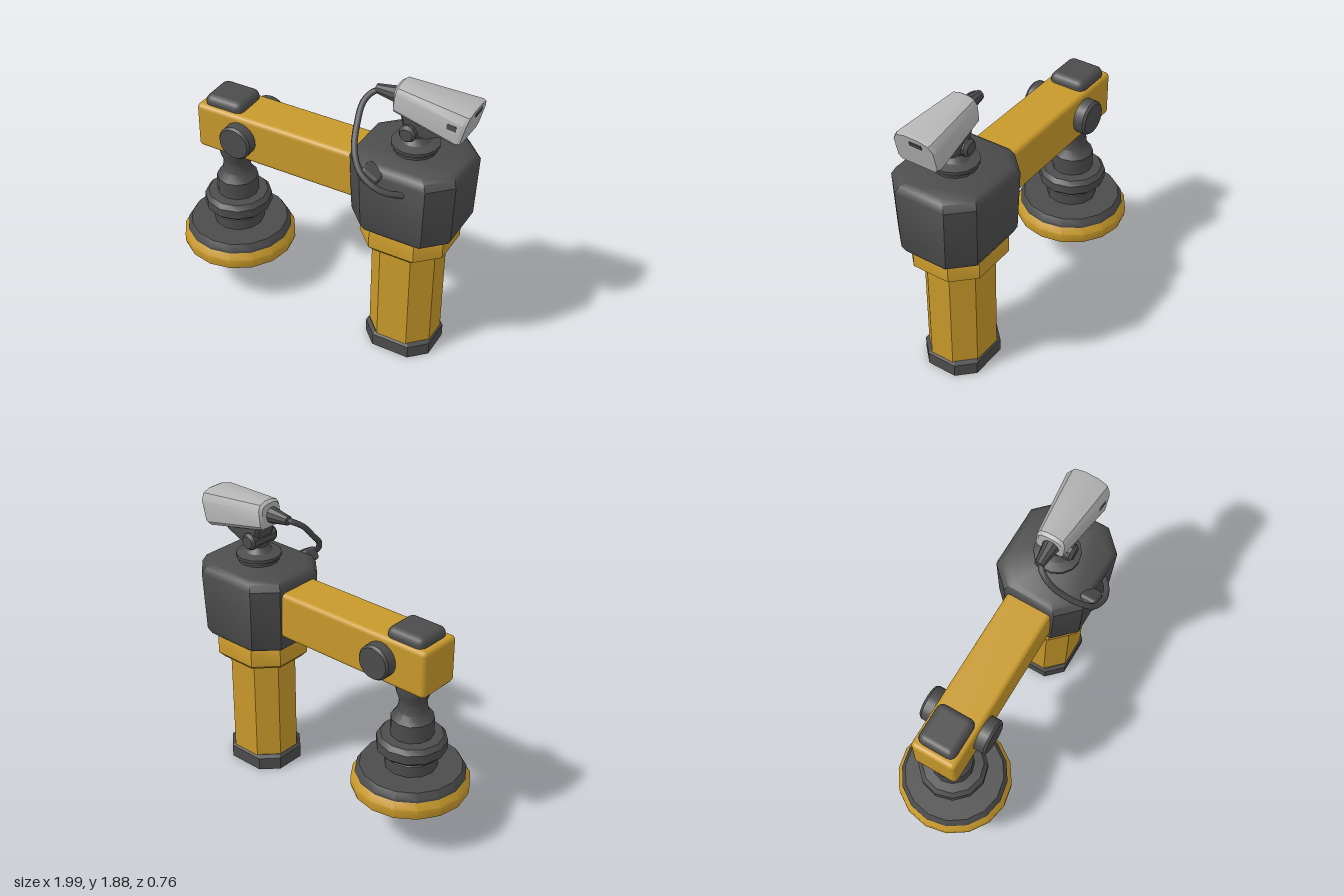
import * as THREE from 'three';
import { toCreasedNormals } from 'three/addons/utils/BufferGeometryUtils.js';
import { RoundedBoxGeometry } from 'three/addons/geometries/RoundedBoxGeometry.js';

const material = (name, color) => {
  const m = new THREE.MeshStandardMaterial({ color });
  m.name = name;
  return m;
};

// Skin between equal-length loops, wound counter-clockwise about the advance direction, with end caps.
function loft(loops) {
  const n = loops[0].length, index = [];
  for (let i = 0; i < loops.length - 1; i++) {
    for (let j = 0; j < n; j++) {
      const a = i * n + j, b = i * n + (j + 1) % n;
      index.push(a, b, a + n, b, b + n, a + n);
    }
  }
  const last = (loops.length - 1) * n;
  for (let j = 1; j < n - 1; j++) {
    index.push(0, j + 1, j, last, last + j, last + j + 1);
  }
  const g = new THREE.BufferGeometry();
  g.setAttribute('position', new THREE.Float32BufferAttribute(loops.flat(2), 3));
  g.setIndex(index);
  return toCreasedNormals(g, 0.6);
}

// Rectangle with cut corners at height y.
function octagon(y, x0, x1, z0, z1, c) {
  return [[x1, z1 - c], [x1, z0 + c], [x1 - c, z0], [x0 + c, z0],
    [x0, z0 + c], [x0, z1 - c], [x0 + c, z1], [x1 - c, z1]].map(([x, z]) => [x, y, z]);
}

// Upright cut-corner block; each level is [height, inset].
const block = (levels, x0, x1, z0, z1, c) =>
  loft(levels.map(([y, d]) => octagon(y, x0 + d, x1 - d, z0 + d, z1 - d, c)));

const turned = (points, sides) => toCreasedNormals(
  new THREE.LatheGeometry(points.map(([r, y]) => new THREE.Vector2(r, y)), sides), 0.6);

export function createModel() {
  const model = new THREE.Group();
  const yellow = material('yellow paint', 0xc8992b);
  const dark = material('dark grey', 0x4c4c4c);
  const grey = material('light grey', 0xb4b4b4);
  const add = (name, geometry, mat, x = 0, y = 0, z = 0) => {
    const mesh = new THREE.Mesh(geometry, mat);
    mesh.name = name;
    mesh.position.set(x, y, z);
    model.add(mesh);
    return mesh;
  };

  // Column
  add('columnFoot', block([[0, 0], [0.085, 0], [0.105, 0.015]], 0.385, 0.835, -0.21, 0.19, 0.1), dark);
  add('column', block([[0.09, 0], [0.85, 0]], 0.4, 0.825, -0.2, 0.18, 0.11), yellow);
  add('columnCollar', block([[0.8, 0.03], [0.835, 0], [0.94, 0], [0.99, 0.02]], 0.335, 0.89, -0.265, 0.245, 0.13), yellow);
  add('head', block([[0.955, 0.06], [0.97, 0.03], [1.01, 0.012], [1.4, 0], [1.44, 0.02], [1.46, 0.05]],
    0.28, 0.96, -0.31, 0.29, 0.13), dark);

  // Arm with its pivot and top cap
  add('arm', new RoundedBoxGeometry(1.16, 0.31, 0.3, 2, 0.03), yellow, -0.24, 1.225, -0.01);
  add('armCap', new RoundedBoxGeometry(0.27, 0.14, 0.25, 2, 0.045), dark, -0.645, 1.37, -0.015);
  const pivot = add('armPivot', turned([[0, -0.228], [0.1, -0.228], [0.112, -0.212], [0.112, 0.212], [0.1, 0.228], [0, 0.228]], 18),
    dark, -0.5, 1.23, -0.01);
  pivot.rotation.x = Math.PI / 2;

  // Hanging tool
  add('toolStem', turned([[0, 0.46], [0.165, 0.46], [0.165, 0.555], [0.14, 0.585], [0.195, 0.585], [0.22, 0.61],
    [0.22, 0.67], [0.195, 0.7], [0.135, 0.705], [0.135, 0.82], [0.095, 0.87], [0.085, 0.94],
    [0.11, 1.01], [0.11, 1.09], [0, 1.09]], 12), dark, -0.635, 0, -0.01);
  add('discTop', turned([[0, 0.41], [0.345, 0.41], [0.345, 0.44], [0.32, 0.48], [0, 0.48]], 16), dark, -0.635, 0, -0.01);
  add('disc', turned([[0, 0.32], [0.367, 0.32], [0.372, 0.34], [0.372, 0.385], [0.345, 0.425], [0, 0.425]], 16),
    yellow, -0.635, 0, -0.01);

  // Camera mount
  add('mountBase', turned([[0, 1.45], [0.13, 1.45], [0.13, 1.475], [0.115, 1.485], [0.145, 1.49], [0.145, 1.51],
    [0.09, 1.525], [0.06, 1.56], [0.06, 1.64], [0, 1.64]], 14), dark, 0.62, 0, -0.01);
  const joint = add('mountJoint', turned([[0, -0.115], [0.04, -0.115], [0.055, -0.095], [0.055, 0.095], [0.04, 0.115], [0, 0.115]], 10),
    dark, 0.61, 1.61, -0.005);
  joint.rotation.x = Math.PI / 2;
  add('mountBracket', loft([octagon(1.59, 0.58, 0.73, -0.08, 0.06, 0.02), octagon(1.64, 0.56, 0.82, -0.09, 0.07, 0.02),
    octagon(1.71, 0.54, 0.88, -0.09, 0.07, 0.02)]), dark);

  // Camera housing, widening to a leaning front face
  const ring = (xTop, xLow, top, low, w) =>
    [[-0.84, 0], [-1, 0.12], [-1, 0.72], [-0.8, 0.92], [-0.35, 1], [0.35, 1], [0.8, 0.92], [1, 0.72], [1, 0.12], [0.84, 0]]
      .map(([s, t]) => [xLow + (xTop - xLow) * t, low + (top - low) * t, -0.01 + s * w]).reverse();
  // Rings must turn from y towards z about +x
  const housing = [ring(0.505, 0.5, 1.87, 1.735, 0.075), ring(0.525, 0.505, 1.885, 1.715, 0.09),
    ring(0.97, 0.915, 1.862, 1.645, 0.142), ring(0.988, 0.938, 1.855, 1.65, 0.132)];
  add('cameraHousing', loft(housing.map(r => r.reverse())
    .map(r => r.reverse())), grey).material.side = THREE.DoubleSide;
  const lens = add('cameraWindow', new THREE.BoxGeometry(0.009, 0.025, 0.08), dark, 0.979, 1.812, -0.03);
  lens.rotation.z = -0.24;
  const slot = add('cameraSlot', new THREE.BoxGeometry(0.06, 0.035, 0.009), dark, 0.89, 1.765, 0.122);
  slot.rotation.y = -0.11;

  // Cable and its fittings
  const plug = add('cablePlug', turned([[0, -0.075], [0.055, -0.075], [0.045, -0.02], [0.03, 0.075], [0, 0.075]], 10),
    dark, 0.44, 1.79, 0);
  plug.rotation.z = Math.PI / 2;
  const path = new THREE.CatmullRomCurve3([[0.46, 1.79, 0], [0.37, 1.785, 0.01], [0.325, 1.74, 0.08], [0.335, 1.64, 0.18],
    [0.38, 1.54, 0.29], [0.45, 1.45, 0.35], [0.55, 1.385, 0.36], [0.63, 1.35, 0.33], [0.69, 1.33, 0.28]]
    .map(p => new THREE.Vector3(...p)));
  add('cable', new THREE.TubeGeometry(path, 32, 0.019, 8), dark);
  const clamp = add('cableClamp', new RoundedBoxGeometry(0.12, 0.09, 0.11, 2, 0.02), dark, 0.49, 1.41, 0.29);
  clamp.rotation.z = -0.5;
  return model;
}
